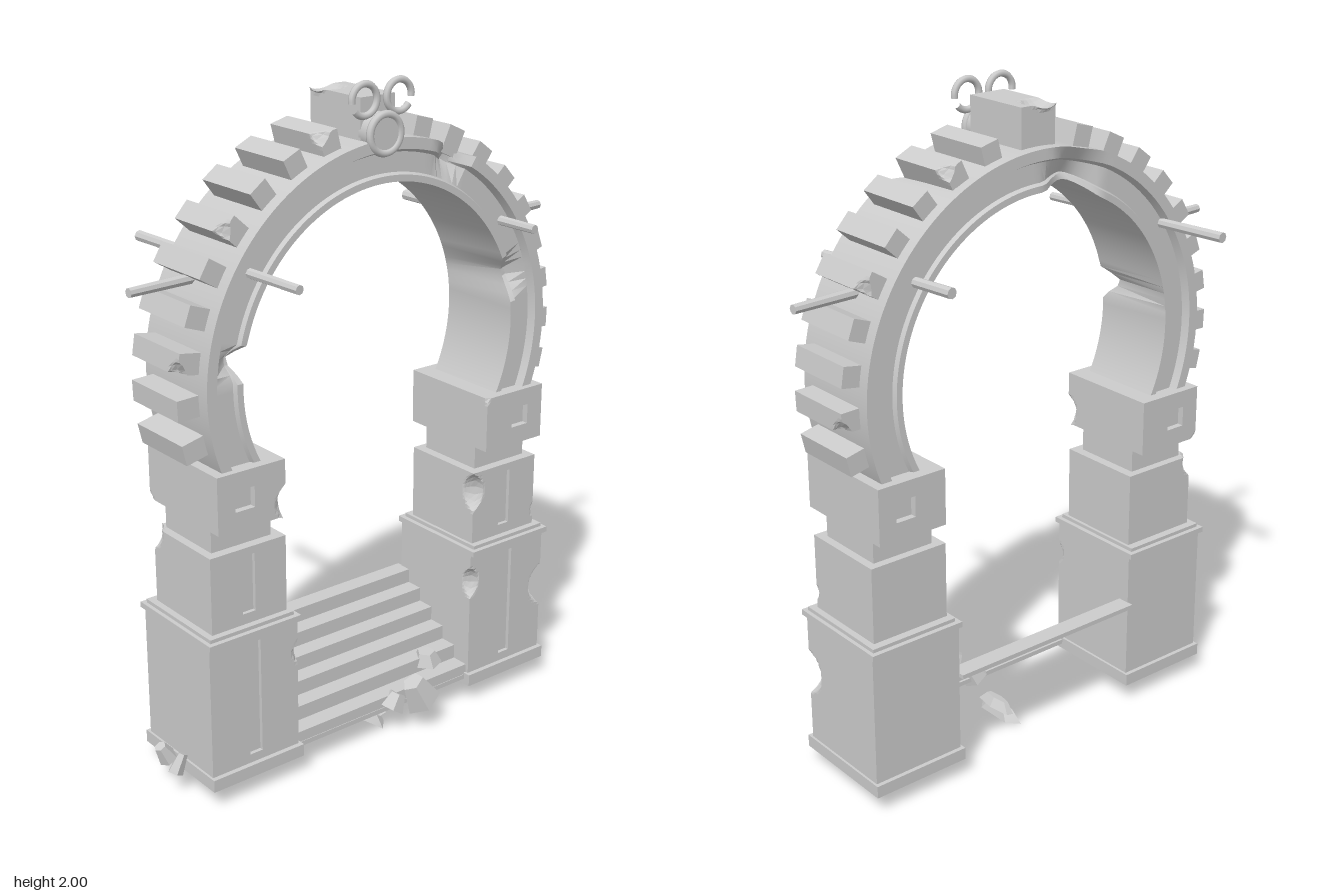
import * as THREE from 'three';
import { toCreasedNormals } from 'three/addons/utils/BufferGeometryUtils.js';

const flat = new THREE.MeshStandardMaterial({ color: 0xcccccc, flatShading: true });
const smooth = new THREE.MeshStandardMaterial({ color: 0xcccccc });
const open = new THREE.MeshStandardMaterial({ color: 0xcccccc, flatShading: true, side: THREE.DoubleSide });
const CX = 0.0125, CY = 1.227; // arch centre
const CELL = 0.0125; // grid of carved blocks

function add(parent, name, geometry, material = flat) {
  const mesh = new THREE.Mesh(geometry, material);
  mesh.name = name;
  parent.add(mesh);
  return mesh;
}

// Box from min/max ranges, subdivided when it is to be carved
function block(x, y, z, cell = 0) {
  const s = [x, y, z].map(r => r[1] - r[0]);
  const n = s.map(v => (cell ? Math.ceil(v / cell) : 1));
  return new THREE.BoxGeometry(...s, ...n)
    .translate((x[0] + x[1]) / 2, (y[0] + y[1]) / 2, (z[0] + z[1]) / 2);
}

function edit(geometry, rule) {
  const p = geometry.attributes.position, v = new THREE.Vector3();
  for (let i = 0; i < p.count; i++) {
    rule(v.fromBufferAttribute(p, i));
    p.setXYZ(i, v.x, v.y, v.z);
  }
  return geometry;
}

// Spherical bites [x, y, z, radius]: push vertices inside out to the sphere
function chip(geometry, bites) {
  for (const [x, y, z, r] of bites) {
    const c = new THREE.Vector3(x, y, z);
    edit(geometry, v => {
      const d = v.distanceTo(c);
      if (d < r && d > 1e-4) v.sub(c).multiplyScalar(r / d).add(c);
    });
  }
  return geometry;
}

// Sunken panel in a face of constant x; grid lines snap to its edges for upright walls
function recess(geometry, faceX, depth, y, z) {
  const snap = (value, edges) => edges.find(e => Math.abs(value - e) < CELL * 0.99) ?? value;
  return edit(geometry, v => {
    if (Math.abs(v.x - faceX) > 1e-4) return;
    const nearY = v.y > y[0] - CELL && v.y < y[1] + CELL;
    const nearZ = v.z > z[0] - CELL && v.z < z[1] + CELL;
    if (!nearY || !nearZ) return;
    if (v.y > y[0] && v.y < y[1] && v.z > z[0] && v.z < z[1]) v.x -= Math.sign(faceX) * depth;
    v.y = snap(v.y, y);
    v.z = snap(v.z, z);
  });
}

function rod(parent, name, a, b, r = 0.016) {
  const from = new THREE.Vector3(...a), dir = new THREE.Vector3(...b).sub(from);
  const mesh = add(parent, name, new THREE.CylinderGeometry(r * 0.85, r, dir.length(), 8));
  mesh.position.copy(from).addScaledVector(dir, 0.5);
  mesh.quaternion.setFromUnitVectors(new THREE.Vector3(0, 1, 0), dir.normalize());
}

function makePillar(s) {
  const front = s > 0;
  const g = new THREE.Group();
  g.name = front ? 'frontPillar' : 'backPillar';
  const Z = (a, b) => (front ? [a, b] : [-b, -a]);
  const slot = Z(0.462, 0.505);
  add(g, 'plinth', block([-0.17, 0.185], [0.06, 0.098], Z(0.325, 0.642)));

  const lower = block([-0.157, 0.17], [0.098, 0.505], Z(0.333, 0.635), CELL);
  recess(lower, 0.17, 0.012, [0.125, 0.482], slot);
  add(g, 'lowerShaft', chip(lower, front
    ? [[0.19, 0.4, 0.31, 0.045]]
    : [[0.18, 0.32, -0.66, 0.075], [0.19, 0.41, -0.31, 0.06]]));

  add(g, 'moulding', block([-0.17, 0.185], [0.505, 0.522], Z(0.33, 0.642)));
  add(g, 'mouldingStep', block([-0.155, 0.17], [0.522, 0.533], Z(0.345, 0.63)));

  const upper = block([-0.13, 0.15], [0.533, 0.765], Z(0.355, 0.61), CELL);
  recess(upper, 0.15, 0.012, [0.565, 0.742], slot);
  add(g, 'upperShaft', chip(upper, front
    ? [[-0.14, 0.75, 0.64, 0.06]]
    : [[0.17, 0.7, -0.33, 0.07], [0.16, 0.58, -0.63, 0.03]]));

  add(g, 'neck', block([-0.105, 0.12], [0.765, 0.84], Z(0.385, 0.585)));

  const cap = block([-0.16, 0.18], [0.84, 1.01], Z(0.375, 0.6), CELL);
  recess(cap, 0.18, 0.02, [0.895, 0.957], Z(0.478, 0.542));
  recess(cap, -0.16, 0.02, [0.895, 0.957], Z(0.478, 0.542));
  add(g, 'capital', chip(cap, front
    ? [[0.2, 0.88, 0.345, 0.065], [-0.17, 0.83, 0.61, 0.03]]
    : [[0.2, 1.02, -0.355, 0.04]]));
  return g;
}

function makeArch() {
  const g = new THREE.Group();
  g.name = 'arch';
  // Stepped ring section as [radius, half width], mirrored about the ring's mid-plane
  const half = [[0.61, 0.148], [0.578, 0.148], [0.568, 0.126], [0.512, 0.126], [0.506, 0.138], [0.487, 0.138]];
  const loop = [
    ...half.map(([r, w]) => new THREE.Vector2(r, w)),
    ...[...half].reverse().map(([r, w]) => new THREE.Vector2(r, -w)),
  ];
  loop.push(loop[0].clone());
  const ring = new THREE.LatheGeometry(loop, 96, Math.PI - 0.48, Math.PI + 0.96);
  ring.rotateZ(-Math.PI / 2).translate(CX, CY, 0);
  // Worn spots sink towards the middle of the section
  for (const [x, y, z, r] of [[0.16, 1.76, -0.25, 0.07], [0.15, 1.36, -0.48, 0.07], [-0.13, 1.73, 0.12, 0.11], [0.15, 1.3, 0.49, 0.05]]) {
    const c = new THREE.Vector3(x, y, z), mid = new THREE.Vector3();
    edit(ring, v => {
      const d = v.distanceTo(c);
      if (d > r) return;
      mid.set(0, v.y - CY, v.z).setLength(0.55).add(new THREE.Vector3(CX, CY, 0));
      v.lerp(mid, 0.5 * (1 - d / r));
    });
  }
  add(g, 'archRing', toCreasedNormals(ring, 0.5), smooth);

  // Radial teeth on both sides, some of them with a broken corner
  for (const s of [1, -1]) {
    for (let i = 0; i < 9; i++) {
      const tooth = block([-0.1, 0.12], [0.59, 0.672], [-0.03, 0.03], 0.015);
      if (i % 3 === (s > 0 ? 2 : 1)) chip(tooth, [[s * 0.11 + 0.01, 0.69, 0.04 * s, 0.05]]);
      const mesh = add(g, 'tooth', tooth);
      mesh.position.set(0, 1.22, 0.005);
      mesh.rotation.x = s * THREE.MathUtils.degToRad(103 - 11.05 * i);
    }
  }
  add(g, 'keystone', chip(block([-0.1, 0.12], [1.81, 1.95], [-0.055, 0.065], CELL),
    [[-0.07, 1.99, 0.03, 0.065]]));
  return g;
}

function makeCrest() {
  const g = new THREE.Group();
  g.name = 'crest';
  g.position.z = 0.01;
  const disc = new THREE.CylinderGeometry(0.056, 0.056, 0.05, 32).rotateZ(Math.PI / 2).translate(0.137, 1.852, 0);
  add(g, 'medallion', toCreasedNormals(disc, 0.6), smooth);
  add(g, 'medallionRim', new THREE.TorusGeometry(0.053, 0.011, 8, 36).rotateY(Math.PI / 2).translate(0.158, 1.852, 0), smooth);
  // Open scrolls, curling up and inward above the medallion
  for (const s of [1, -1]) {
    const pts = [];
    for (let i = 0; i <= 18; i++) {
      const a = -0.9 + i * 0.32;
      pts.push(new THREE.Vector3(0.142, 1.947 - 0.043 * Math.cos(a), s * (0.06 - 0.043 * Math.sin(a))));
    }
    add(g, 'scroll', new THREE.TubeGeometry(new THREE.CatmullRomCurve3(pts), 48, 0.01, 8), smooth);
  }
  return g;
}

function makeStairs() {
  const g = new THREE.Group();
  g.name = 'stairs';
  const n = 6, y0 = 0.08, rise = 0.045, x0 = 0.16, run = 0.056, width = 0.67;
  for (let i = 0; i < n; i++) {
    const x = x0 - i * run, y = y0 + i * rise;
    add(g, 'riser', new THREE.PlaneGeometry(width, rise).rotateY(Math.PI / 2).translate(x, y + rise / 2, 0), open);
    add(g, 'tread', new THREE.PlaneGeometry(run, width).rotateX(-Math.PI / 2).translate(x - run / 2, y + rise, 0), open);
  }
  add(g, 'topEdge', block([-0.176, -0.15], [0.336, 0.35], [-0.334, 0.334]));
  add(g, 'bottomEdge', block([0.14, 0.162], [0.077, 0.092], [-0.334, 0.334]));
  return g;
}

function makeRubble() {
  const g = new THREE.Group();
  g.name = 'rubble';
  // [position, half size, tilt]
  const rocks = [
    [[0.2, 0.13, -0.1], [0.05, 0.045, 0.06], 0.5],
    [[0.16, 0.1, -0.04], [0.04, 0.025, 0.045], -0.6],
    [[0.04, 0.018, -0.025], [0.1, 0.018, 0.03], 0],
    [[0.04, 0.045, -0.035], [0.08, 0.015, 0.025], 0.2],
    [[0.1, 0.165, -0.22], [0.05, 0.02, 0.045], 0.1],
    [[-0.03, 0.1, 0.67], [0.03, 0.028, 0.03], 0.5],
    [[0.04, 0.095, 0.665], [0.022, 0.03, 0.025], -0.5],
  ];
  rocks.forEach(([p, s, t], i) => {
    const m = add(g, 'rock', new THREE.CylinderGeometry(0.6, 1, 2, 5 + (i % 2)));
    m.position.set(...p);
    m.scale.set(...s);
    m.rotation.x = t;
  });
  return g;
}

export function createModel() {
  const model = new THREE.Group();
  model.name = 'ruinedArchGate';
  model.add(makePillar(1), makePillar(-1), makeArch(), makeCrest(), makeStairs(), makeRubble());

  // Rods piercing the ring sideways and outward
  rod(model, 'sideRod', [-0.345, 1.545, 0.485], [0.335, 1.535, 0.435]);
  rod(model, 'sideRod', [-0.255, 1.545, -0.415], [0.27, 1.535, -0.455]);
  rod(model, 'outerRod', [0, 1.51, 0.54], [0.015, 1.51, 0.745]);
  rod(model, 'outerRod', [0, 1.51, -0.54], [-0.015, 1.51, -0.745]);
  return model;
}
